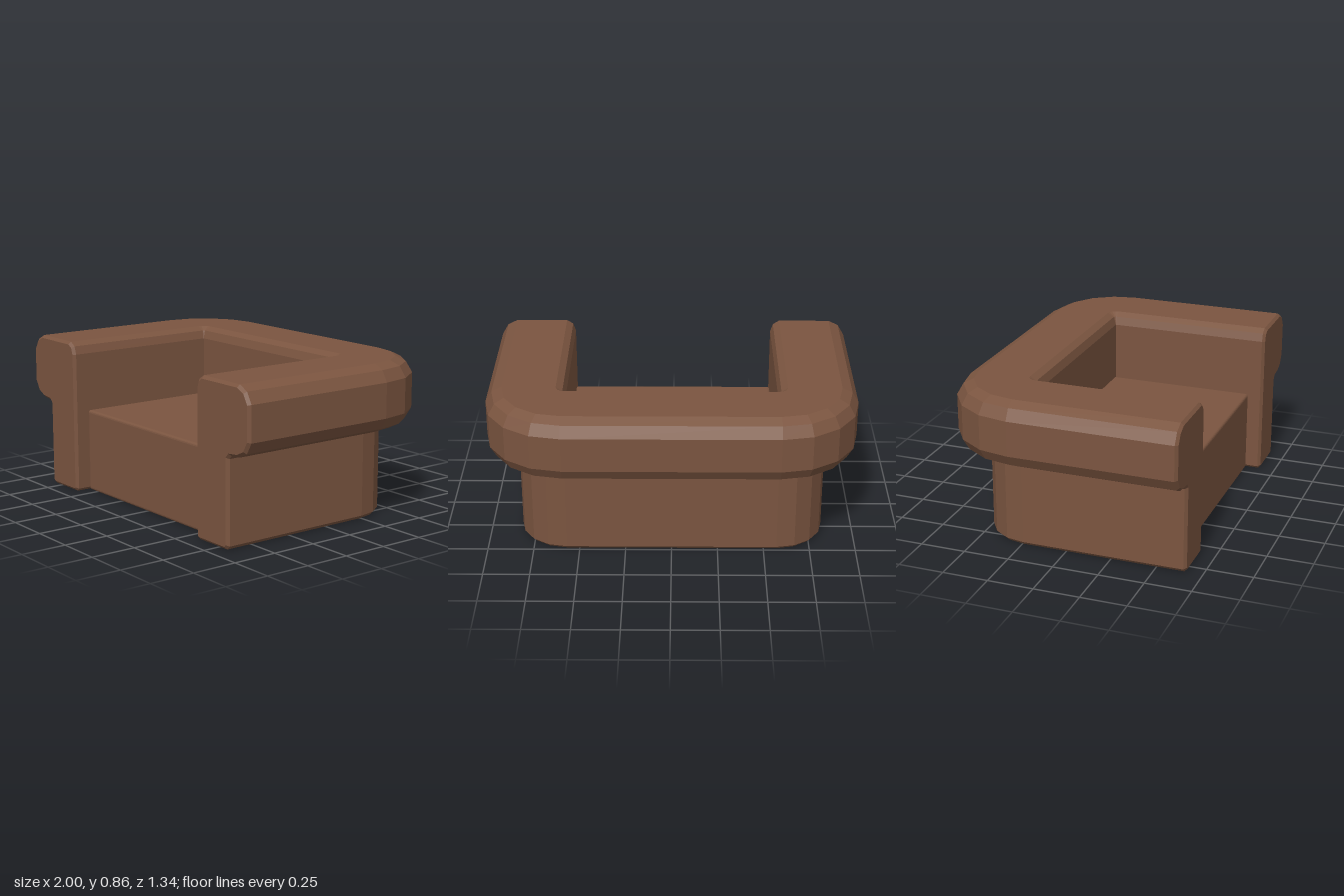
import * as THREE from 'three';
import { RoundedBoxGeometry } from 'three/addons/geometries/RoundedBoxGeometry.js';

const INNER_X = 0.57, INNER_Z = -0.24, FRONT_Z = 0.665, BEVEL = 0.015;

// Counter-clockwise section of arm and back: [distance outward from inner wall, height]
const PROFILE = [
  [0.015, 0], [0.24, 0], [0.26, 0.02], [0.26, 0.47], [0.275, 0.487], [0.34, 0.493],
  [0.395, 0.52], [0.43, 0.58], [0.43, 0.77], [0.395, 0.83], [0.34, 0.857],
  [0.05, 0.857], [0.015, 0.835], [0, 0.79], [0, 0.015],
].map(([r, y]) => new THREE.Vector2(r, y));

// Shrinks a closed outline by a distance, for the bevelled arm fronts
function inset(points, d) {
  const n = points.length;
  return points.map((p, i) => {
    const a = p.clone().sub(points[(i + n - 1) % n]).normalize();
    const b = points[(i + 1) % n].clone().sub(p).normalize();
    const m = new THREE.Vector2(-a.y - b.y, a.x + b.x).normalize();
    const k = d / Math.max(0.5, -m.x * a.y + m.y * a.x);
    return p.clone().addScaledVector(m, k);
  });
}

// One ring of points: section placed at (x, z), pointing outward at an angle
function ring(section, x, z, angle) {
  return section.map((p) => new THREE.Vector3(
    x + p.x * Math.cos(angle), p.y, z - p.x * Math.sin(angle)));
}

// Sweeps the section round the U-shaped path and caps both arm fronts
function armsAndBackGeometry() {
  const small = inset(PROFILE, BEVEL);
  const rings = [
    ring(small, INNER_X, FRONT_Z, 0),
    ring(PROFILE, INNER_X, FRONT_Z - BEVEL, 0),
  ];
  for (const corner of [0, 1]) {
    for (let i = 0; i <= 4; i++) {
      const angle = (corner + i / 4) * Math.PI / 2;
      rings.push(ring(PROFILE, corner ? -INNER_X : INNER_X, INNER_Z, angle));
    }
  }
  rings.push(ring(PROFILE, -INNER_X, FRONT_Z - BEVEL, Math.PI));
  rings.push(ring(small, -INNER_X, FRONT_Z, Math.PI));

  const vertices = [];
  const tri = new THREE.Triangle();
  const face = (a, b, c) => {
    if (tri.set(a, b, c).getArea() > 1e-9) vertices.push(a, b, c);
  };
  const n = PROFILE.length;
  for (let j = 0; j < rings.length - 1; j++) {
    const A = rings[j], B = rings[j + 1];
    for (let i = 0; i < n; i++) {
      const k = (i + 1) % n;
      face(A[i], B[i], B[k]);
      face(A[i], B[k], A[k]);
    }
  }
  const first = rings[0], last = rings[rings.length - 1];
  for (const [a, b, c] of THREE.ShapeUtils.triangulateShape(small, [])) {
    face(first[a], first[b], first[c]);
    face(last[a], last[c], last[b]);
  }
  const geometry = new THREE.BufferGeometry().setFromPoints(vertices);
  geometry.computeVertexNormals();
  return geometry;
}

export function createModel() {
  const group = new THREE.Group();
  group.name = 'sofa';
  const leather = new THREE.MeshStandardMaterial({ color: 0x7b5540, flatShading: true });

  // Rolled arms and back in one continuous sweep
  const frame = new THREE.Mesh(armsAndBackGeometry(), leather);
  frame.name = 'armsAndBack';
  group.add(frame);

  // Seat block between the arms, set back from their fronts
  const back = INNER_Z - 0.02, front = 0.58, height = 0.465;
  const seat = new THREE.Mesh(
    new RoundedBoxGeometry(2 * INNER_X + 0.006, height, front - back, 2, 0.015), leather);
  seat.position.set(0, height / 2, (front + back) / 2);
  seat.name = 'seat';
  group.add(seat);

  return group;
}
